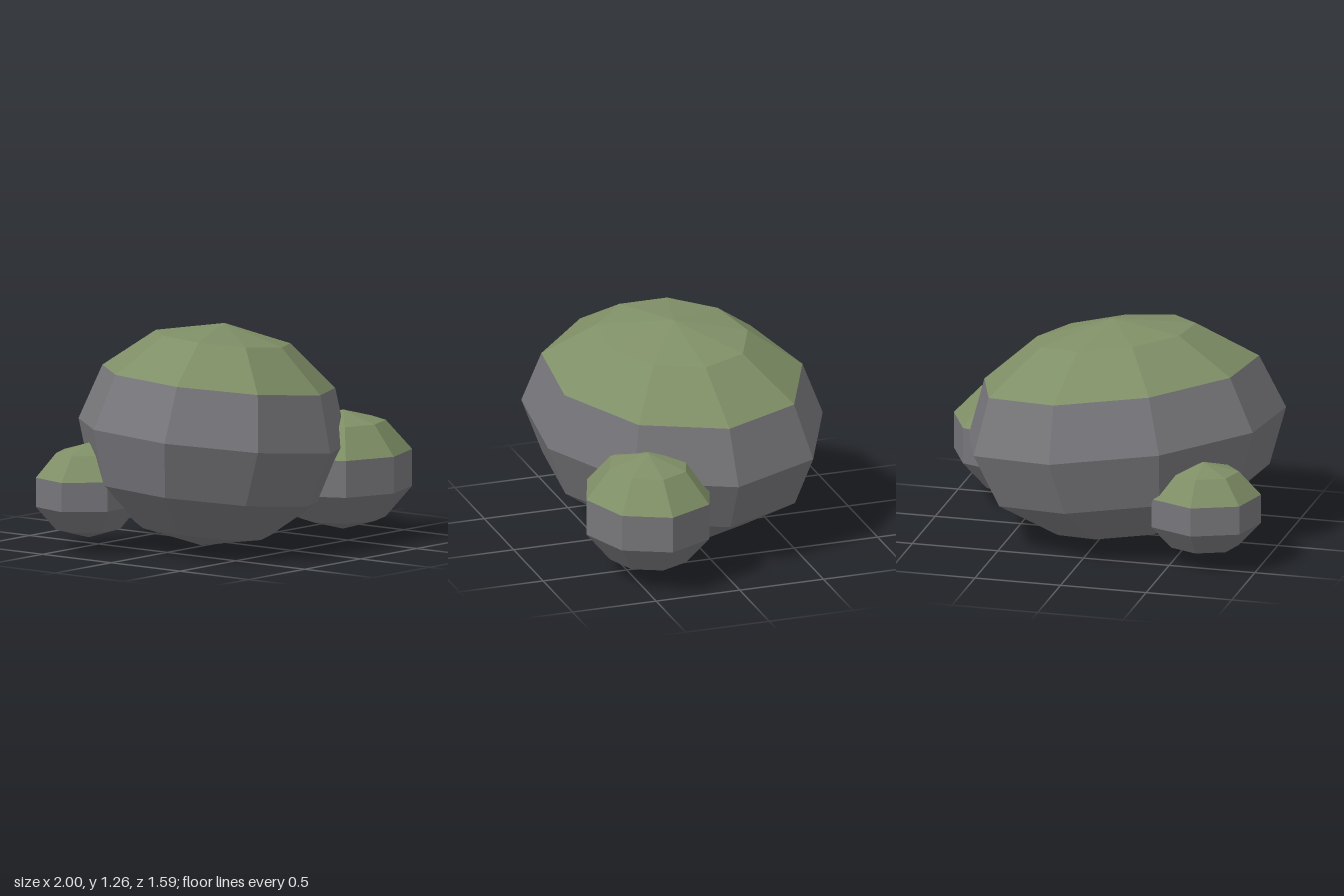
import * as THREE from 'three';

const stone = new THREE.MeshStandardMaterial({ color: 0x77777b, flatShading: true });
const moss = new THREE.MeshStandardMaterial({ color: 0x7f8f66, flatShading: true });

// A faceted ellipsoid boulder whose top two bands of facets are moss.
function boulder(name, { sides, bands, radii, position, spin = 0, turn = 0, lean = [0, 0] }) {
  const group = new THREE.Group();
  group.name = name;
  const split = (2 * Math.PI) / bands;
  const layer = (part, rows, start, length, material) => {
    const g = new THREE.SphereGeometry(1, sides, rows, 0, Math.PI * 2, start, length);
    g.rotateY(spin).scale(...radii).rotateY(turn).rotateZ(lean[1]).rotateX(lean[0]);
    const mesh = new THREE.Mesh(g, material);
    mesh.name = part;
    group.add(mesh);
  };
  layer('mossCap', 2, 0, split, moss);
  layer('stoneBody', bands - 2, split, Math.PI - split, stone);
  group.position.set(...position);
  return group;
}

export function createModel() {
  const model = new THREE.Group();
  model.name = 'mossyBoulders';
  const deg = Math.PI / 180;
  model.add(
    // Large leaning boulder
    boulder('largeBoulder', {
      sides: 9, bands: 6, radii: [0.93, 0.633, 0.77], position: [-0.1, 0.632, 0.005],
      spin: -10 * deg, turn: 30 * deg, lean: [0.047, -0.11],
    }),
    // Medium boulder at the front left
    boulder('frontBoulder', {
      sides: 8, bands: 5, radii: [0.44, 0.34, 0.388], position: [0.58, 0.39, 0.4],
    }),
    // Small boulder at the back right
    boulder('backBoulder', {
      sides: 7, bands: 5, radii: [0.345, 0.27, 0.295], position: [-0.68, 0.34, -0.425],
      spin: -90 * deg,
    }),
  );
  return model;
}
